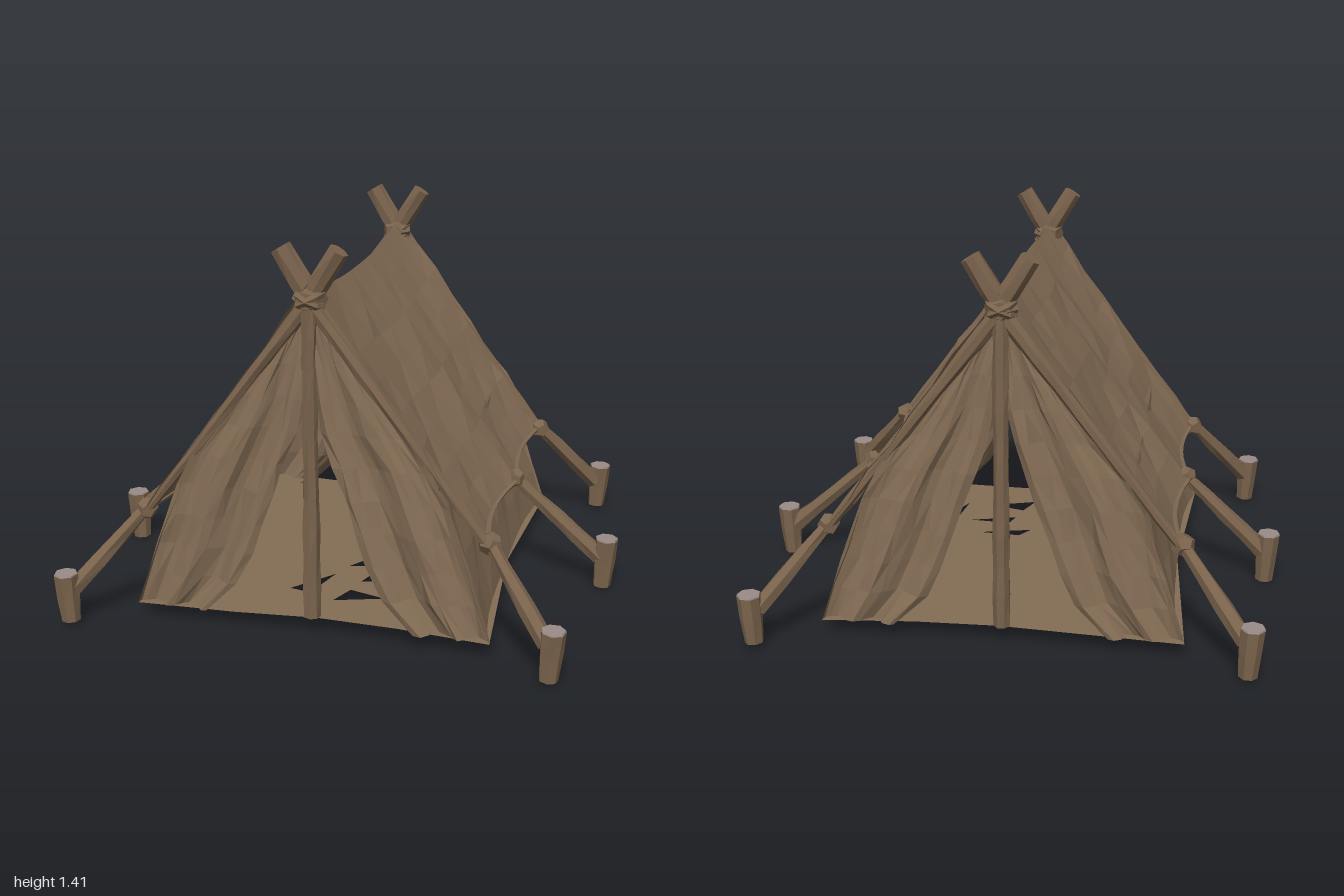
import * as THREE from 'three';

const flat = (name, color) => {
  const m = new THREE.MeshStandardMaterial({ color, flatShading: true, side: THREE.DoubleSide });
  m.name = name;
  return m;
};

// repeatable value in -1..1 for a grid point
const noise = (i, j, k) => {
  const s = Math.sin(i * 127.1 + j * 311.7 + k * 74.7) * 43758.5453;
  return (s - Math.floor(s)) * 2 - 1;
};

// sheet of nu x nv cells from f(u, v, i, j) -> [x, y, z]
function sheet(nu, nv, f) {
  const pos = [], idx = [];
  for (let j = 0; j <= nv; j++)
    for (let i = 0; i <= nu; i++) pos.push(...f(i / nu, j / nv, i, j));
  for (let j = 0; j < nv; j++)
    for (let i = 0; i < nu; i++) {
      const a = j * (nu + 1) + i, b = a + 1, c = a + nu + 1, d = c + 1;
      if ((i + j) % 2) idx.push(a, b, d, a, d, c);
      else idx.push(a, b, c, b, d, c);
    }
  const g = new THREE.BufferGeometry();
  g.setAttribute('position', new THREE.Float32BufferAttribute(pos, 3));
  g.setIndex(idx);
  g.computeVertexNormals();
  return g;
}

// piecewise-linear lookup in [[key, value], ...] with rising keys
function lerpTable(t, x) {
  for (let i = 1; i < t.length; i++)
    if (x <= t[i][0]) {
      const k = (x - t[i - 1][0]) / (t[i][0] - t[i - 1][0]);
      return t[i - 1][1] + k * (t[i][1] - t[i - 1][1]);
    }
  return t[t.length - 1][1];
}

export function createModel() {
  const root = new THREE.Group();
  root.name = 'tent';
  const canvas = flat('canvas', 0x846d55);
  const wood = flat('wood', 0x7a634c);
  const cutWood = flat('cut wood', 0x9a8b88);
  const CX = -0.015;

  const add = (name, geo, mat) => {
    const m = new THREE.Mesh(geo, mat);
    m.name = name;
    root.add(m);
    return m;
  };

  // rough stick between two points
  const stick = (name, a, b, ra, rb, sides = 7, rough = 0.14) => {
    const A = new THREE.Vector3(...a), B = new THREE.Vector3(...b);
    const len = A.distanceTo(B), rows = Math.max(2, Math.round(len / 0.12));
    const g = new THREE.CylinderGeometry(rb, ra, len, sides, rows);
    const p = g.attributes.position;
    for (let i = 0; i < p.count; i++) {
      const row = Math.round((p.getY(i) / len + 0.5) * rows);
      const ang = Math.round(Math.atan2(p.getX(i), p.getZ(i)) * 10);
      const s = 1 + rough * noise(row, Math.abs(ang) === 31 ? 31 : ang, 3);
      p.setX(i, p.getX(i) * s);
      p.setZ(i, p.getZ(i) * s);
    }
    const m = add(name, g, wood);
    m.position.copy(A).add(B).multiplyScalar(0.5);
    m.quaternion.setFromUnitVectors(new THREE.Vector3(0, 1, 0), B.sub(A).normalize());
  };

  // chunky faceted knot
  const knot = (name, x, y, z, sx, sy, sz) => {
    const m = add(name, new THREE.DodecahedronGeometry(1), wood);
    m.position.set(x, y, z);
    m.scale.set(sx, sy, sz);
    m.rotation.y = x + z;
  };

  const addStake = (x, z, s, y0) => {
    stick('stake', [x - s * 0.01, y0, z], [x, 0.19, z], 0.034, 0.044, 7, 0.08);
    const cap = add('stakeTop', new THREE.CylinderGeometry(0.041, 0.043, 0.006, 7), cutWood);
    cap.position.set(x, 0.193, z);
  };

  // sagging ridge and scalloped eaves
  const ridgeY = (w) => 1.2 + 0.07 * Math.pow(Math.abs(w), 2.6);
  const scallop = (w) => 0.04 * Math.abs(Math.sin(Math.PI * w));

  for (const s of [-1, 1]) {
    // roof slope
    add('roof', sheet(8, 12, (u, v, i, j) => {
      const w = v * 2 - 1;
      const n = i > 0 && i < 8 ? 0.009 * noise(i, j, s + 5) : 0;
      const x = (0.625 - scallop(w)) * u;
      const y = ridgeY(w) + (0.4 - ridgeY(w)) * u;
      return [CX + s * (x + n * 0.8), y + n * 0.6, w * (0.66 + 0.005 * noise(i, j, s + 8))];
    }), canvas);

    // rolled hem along the eaves
    const hem = [];
    for (let i = 0; i <= 12; i++) {
      const w = i / 6 - 1;
      hem.push(new THREE.Vector3(CX + s * (0.625 - scallop(w)), 0.402, w * 0.65));
    }
    add('eaveHem', new THREE.TubeGeometry(new THREE.CatmullRomCurve3(hem), 24, 0.01, 5), canvas);

    // low side wall beneath the overhang, flaring at the corners
    add('sideWall', sheet(4, 12, (u, v, i, j) => {
      const w = v * 2 - 1;
      const n = i && i < 4 ? 0.008 * noise(i, j, s + 12) : 0;
      return [CX + s * (0.45 + (0.145 + 0.05 * w ** 4) * u + n), 0.6 - 0.545 * u, w * (0.65 + 0.045 * u)];
    }), canvas);

    for (const e of [-1, 1]) {
      // gathered door curtain: broad folds from the peak, inner edge curled inwards
      const outer = [[0.055, 0.645], [0.3, 0.57], [0.59, 0.465], [1.22, 0.015]];
      const inner = [[0.055, 0.38], [0.14, 0.28], [0.3, 0.2], [0.56, 0.115], [0.8, 0.03], [1.22, 0]];
      add('doorCurtain', sheet(15, 10, (u, v, i, j) => {
        const y = 1.22 - 1.165 * v;
        const a = lerpTable(inner, y), b = lerpTable(outer, y);
        const curl = Math.max(0, 1 - u / 0.2);
        const across = Math.max(0, (u - 0.2) / 0.8);
        const fold = Math.sin(across * Math.PI * 4 + 0.6 * v) * 0.03 * Math.min(1, v * 1.8) * (1 - 0.7 * across);
        const n = i && i < 15 ? 0.006 : 0;
        const x = a + (b - a) * across + 0.05 * curl * v + n * noise(i, j, s + e * 4);
        const z = 0.635 + 0.035 * v + fold - 0.1 * curl * v + n * noise(i, j, s * 2 + e);
        return [CX + s * x, y, e * z];
      }), canvas);

      // crossed pole tips and the rafters running down the roof edge
      stick('crossedPole', [CX - s * 0.03, 1.17, e * 0.625], [CX + s * 0.1, 1.385, e * 0.63], 0.035, 0.037);
      stick('rafter', [CX + s * 0.61, 0.41, e * 0.635], [CX - s * 0.01, 1.22, e * 0.635], 0.017, 0.028);

      // corner guy rope with its knot and stake
      knot('cornerKnot', CX + s * 0.625, 0.4, e * 0.62, 0.04, 0.042, 0.045);
      stick('guyRope', [CX + s * 0.62, 0.41, e * 0.62], [CX + s * 0.85, 0.13, e * 0.78], 0.024, 0.035, 6);
      addStake(CX + s * 0.872, e * 0.8, s, 0.012);
    }

    // middle guy rope with its knot and stake
    knot('middleKnot', CX + s * 0.62, 0.41, 0.005, 0.033, 0.038, 0.038);
    stick('guyRope', [CX + s * 0.615, 0.41, 0], [s * 0.935, 0.12, -0.005], 0.022, 0.034, 6);
    addStake(s * 0.957, -0.005, s, 0);
  }

  // upright poles and the lashings at each peak
  for (const e of [-1, 1]) {
    stick('uprightPole', [CX, 0.06, e * 0.645], [CX, 1.2, e * 0.645], 0.031, 0.026);
    knot('lashing', CX, 1.215, e * 0.625, 0.062, 0.052, 0.062);
    for (const t of [-1, 1]) {
      const wrap = add('lashingWrap', new THREE.TorusGeometry(0.048, 0.014, 5, 8), wood);
      wrap.position.set(CX, 1.215, e * 0.63);
      wrap.rotation.set(Math.PI / 2, t * 0.45, 0);
    }
  }

  // torn ground sheet
  const floor = new THREE.Shape();
  [[-0.66, -0.695], [-0.3, -0.67], [0, -0.65], [0.3, -0.66], [0.63, -0.695], [0.58, 0], [0.63, 0.695],
    [0.3, 0.66], [0, 0.65], [-0.3, 0.68], [-0.66, 0.695], [-0.61, 0]]
    .forEach(([x, z], i) => (i ? floor.lineTo(x, z) : floor.moveTo(x, z)));
  for (const tear of [
    [[0.02, 0.5], [0.2, 0.44], [0.06, 0.4]],
    [[-0.16, 0.44], [-0.03, 0.28], [-0.08, 0.46]],
    [[0.08, 0.32], [0.26, 0.27], [0.1, 0.26]],
    [[0.0, 0.2], [0.2, 0.15], [0.04, 0.14]],
    [[0.3, 0.45], [0.36, 0.32], [0.32, 0.3]],
  ]) floor.holes.push(new THREE.Path(tear.map(([x, z]) => new THREE.Vector2(x, z))));
  const ground = add('groundSheet', new THREE.ShapeGeometry(floor), canvas);
  ground.rotation.x = Math.PI / 2;
  ground.position.y = 0.058;

  return root;
}
